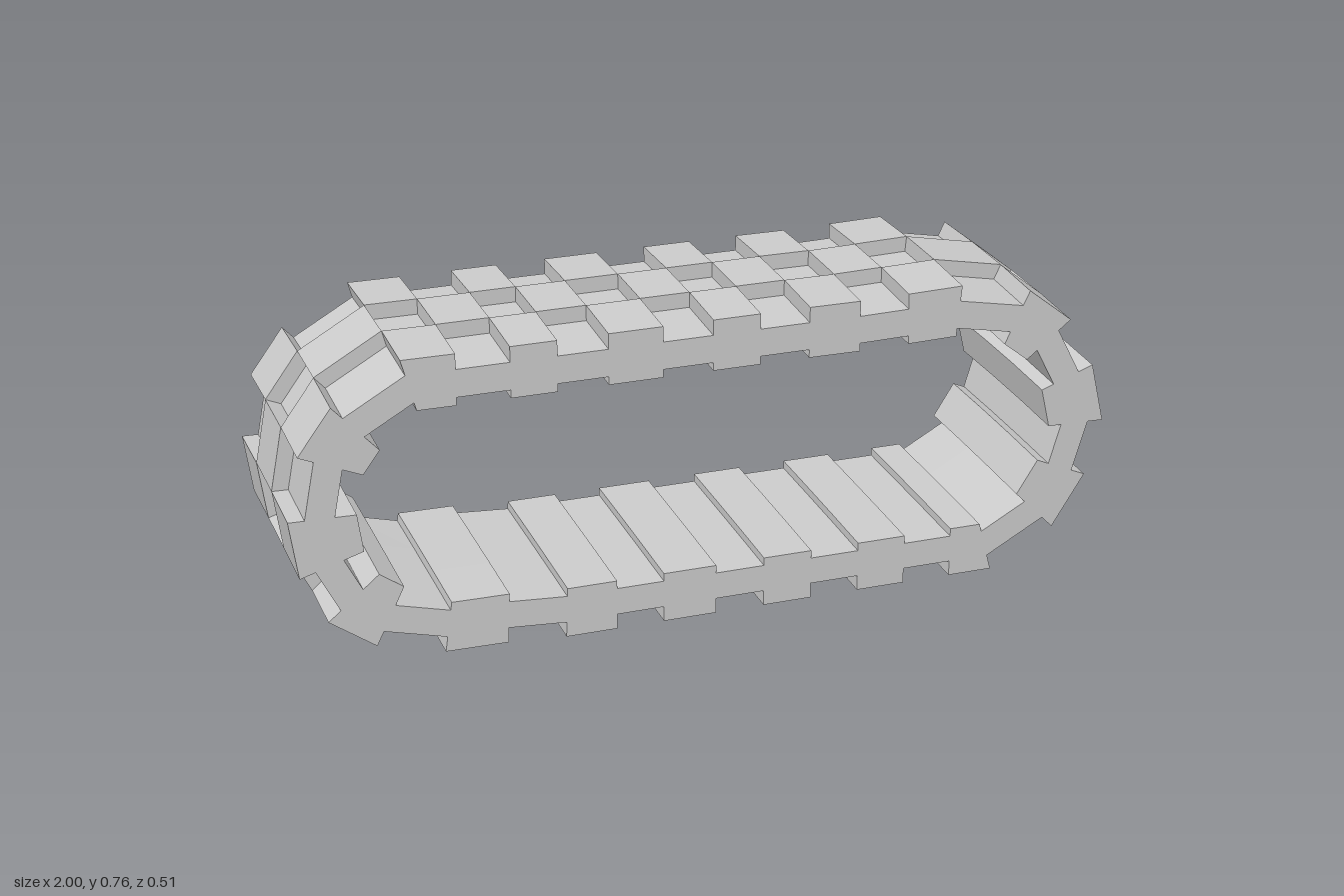
import * as THREE from 'three';

// Joints of the track loop, clockwise seen from the front
const JOINTS = [
  [-0.73, 0.757], [-0.605, 0.756], [-0.48, 0.756], [-0.37, 0.756], [-0.25, 0.756], [-0.12, 0.756],
  [0, 0.756], [0.115, 0.756], [0.235, 0.756], [0.36, 0.755], [0.48, 0.757], [0.615, 0.76],
  [0.79, 0.725], [0.9, 0.637], [0.965, 0.51], [1, 0.36], [0.96, 0.22], [0.88, 0.09],
  [0.72, 0], [0.61, 0], [0.49, 0], [0.37, 0], [0.25, 0], [0.13, 0],
  [0.01, 0], [-0.12, 0], [-0.235, 0], [-0.36, 0], [-0.5, 0.01], [-0.65, 0.012],
  [-0.81, 0.055], [-0.92, 0.135], [-0.98, 0.255], [-1, 0.4], [-0.97, 0.555], [-0.89, 0.665],
].map(([x, y]) => new THREE.Vector2(x, y));
const N = JOINTS.length;
const GROOVE = 0.038;
const HALF_WIDTH = 0.247;
const HALF_CENTRE = 0.082;

// Inward mitre direction at each joint
const INWARD = JOINTS.map((p, i) => {
  const side = (a, b) => new THREE.Vector2(b.y - a.y, a.x - b.x).normalize();
  const a = side(JOINTS[(i + N - 1) % N], p);
  const b = side(p, JOINTS[(i + 1) % N]);
  const m = a.clone().add(b).normalize();
  return m.divideScalar(m.dot(a));
});
const inset = (i, d) => JOINTS[i].clone().addScaledVector(INWARD[i], d);

// Castellated outline: depthAt(link, joint) is the inset of each link's two ends
function linkOutline(depthAt) {
  const pts = [];
  for (let i = 0; i < N; i++) {
    for (const j of [i, (i + 1) % N]) pts.push(inset(j, depthAt(i, j)));
  }
  return pts;
}

// Inner bars sit under every other link and are deeper around the ends
function barDepth(link, joint) {
  if (link % 2 === 1) return 0.106;
  const x = JOINTS[joint].x;
  if (x < -0.78) return 0.155;
  return x > 0.78 ? 0.138 : 0.126;
}

function makeBand(name, padParity, z0, z1) {
  const shape = new THREE.Shape(linkOutline((i) => (i % 2 === padParity ? 0 : GROOVE)));
  // The hole runs the opposite way so that its walls face inward
  shape.holes.push(new THREE.Path(linkOutline(barDepth).reverse()));
  const geo = new THREE.ExtrudeGeometry(shape, { depth: z1 - z0, bevelEnabled: false });
  geo.translate(0, 0, z0);
  // Outer edges droop slightly, and the track is a touch skewed along its length
  const pos = geo.attributes.position;
  for (let i = 0; i < pos.count; i++) {
    const z = pos.getZ(i);
    if (Math.abs(z) > HALF_CENTRE + 0.01) pos.setY(i, pos.getY(i) * 0.992);
    pos.setZ(i, z + 0.006 * pos.getX(i));
  }
  geo.computeVertexNormals();
  const mesh = new THREE.Mesh(geo, new THREE.MeshStandardMaterial({ color: 0xcccccc, flatShading: true }));
  mesh.name = name;
  return mesh;
}

export function createModel() {
  const track = new THREE.Group();
  track.name = 'track';
  // Centre pads are staggered against the side pads
  track.add(makeBand('centreTread', 1, -HALF_CENTRE, HALF_CENTRE));
  track.add(makeBand('frontTread', 0, HALF_CENTRE, HALF_WIDTH));
  track.add(makeBand('backTread', 0, -HALF_WIDTH, -HALF_CENTRE));
  return track;
}
